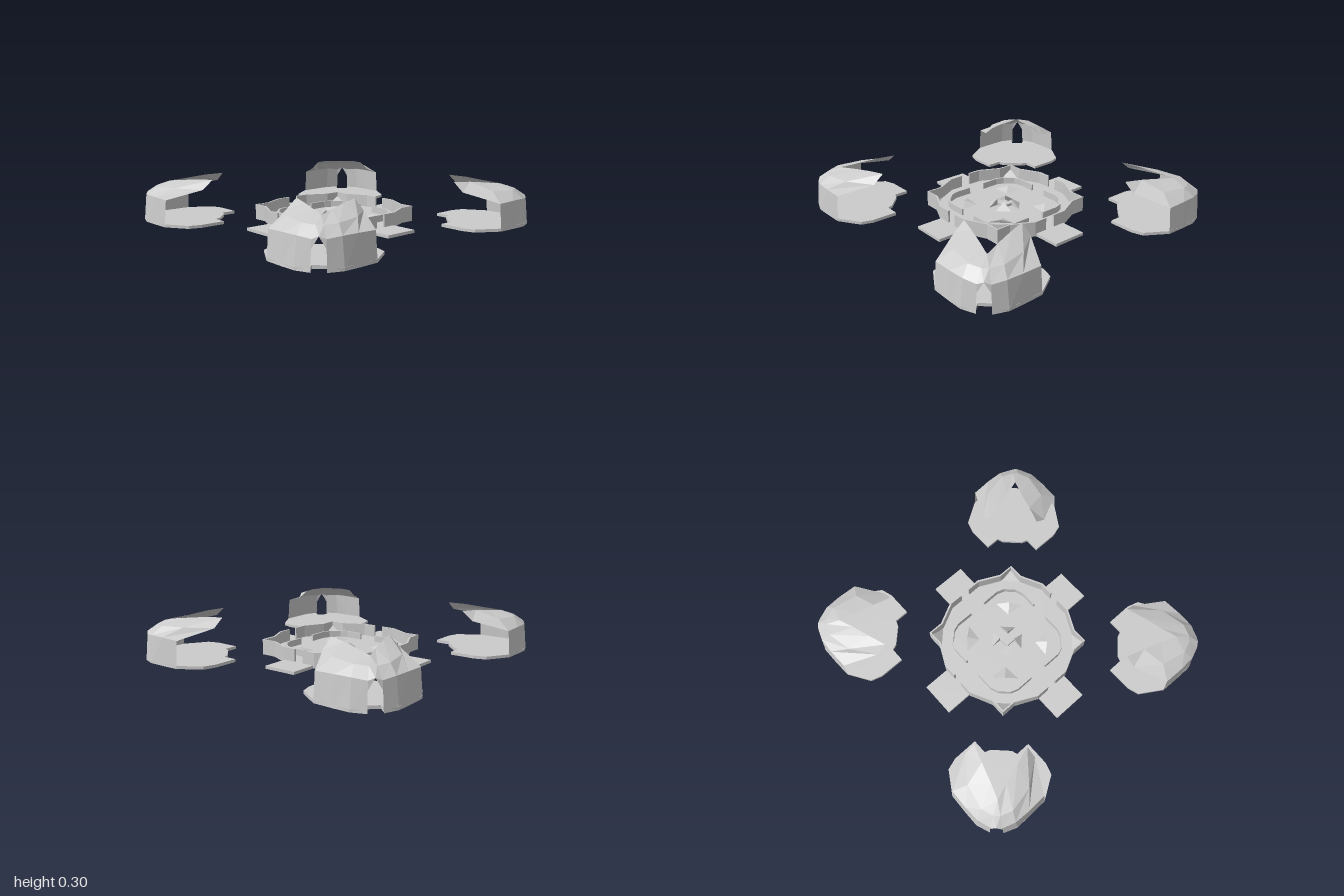
import * as THREE from 'three';

const material = new THREE.MeshStandardMaterial({ color: 0xcccccc, flatShading: true, side: THREE.DoubleSide });

function mesh(geometry, name) {
  const m = new THREE.Mesh(geometry, material);
  m.name = name;
  return m;
}

// Flat plan outline of [x, z] points, extruded from y0 up to y1
function slab(points, y0, y1, name) {
  const shape = new THREE.Shape(points.map(([x, z]) => new THREE.Vector2(x, z)));
  const g = new THREE.ExtrudeGeometry(shape, { depth: y1 - y0, bevelEnabled: false });
  g.rotateX(Math.PI / 2).translate(0, y1, 0);
  return mesh(g, name);
}

// Triangle soup from [x, y, z] corners
function faces(triangles, name) {
  const g = new THREE.BufferGeometry();
  g.setAttribute('position', new THREE.Float32BufferAttribute(triangles.flat(2), 3));
  g.computeVertexNormals();
  return mesh(g, name);
}

// Quads between two equally long rows of points, skipping chosen panels
function strip(low, high, skip = -1) {
  const tris = [];
  for (let i = 0; i < low.length - 1; i++) {
    if (i === skip) continue;
    tris.push([low[i], low[i + 1], high[i + 1]], [low[i], high[i + 1], high[i]]);
  }
  return tris;
}

// Mirror half a plan outline or row across the x = z diagonal
const mirrorPlan = (half) => [...half, ...half.map(([x, z]) => [z, x]).reverse()];
const mirrorRow = (half) => [...half, ...half.map(([x, y, z]) => [z, y, x]).reverse()];

// Three-sided pyramid
function wedge(a, b, c, peak, name) {
  return faces([[a, peak, b], [b, peak, c], [c, peak, a]], name);
}

// Thin wall standing on a plan path
function wall(path, thickness, y1, name) {
  const inner = path.map(([x, z]) => {
    const k = 1 - thickness / Math.hypot(x, z);
    return [x * k, z * k];
  });
  return slab([...path, ...inner.reverse()], 0.015, y1, name);
}

function quarter(parent, index, build, name) {
  const g = build();
  g.name = name;
  g.rotation.y = index * Math.PI / 2;
  parent.add(g);
}

// One quarter of the courtyard walls and floor details
function courtyardQuarter() {
  const g = new THREE.Group();
  const outer = mirrorPlan([[0.035, 0.46], [0.13, 0.46], [0.28, 0.385], [0.385, 0.385]].slice(0, 3));
  outer.splice(3, 0, [0.385, 0.385]);
  g.add(wall(outer, 0.013, 0.105, 'outerWall'));
  g.add(wall(mirrorPlan([[0.065, 0.325], [0.19, 0.325], [0.245, 0.305]]), 0.013, 0.065, 'innerWall'));
  g.add(wedge([0.37, 0.02, 0.37], [0.28, 0.02, 0.37], [0.37, 0.02, 0.28], [0.37, 0.075, 0.37], 'cornerRamp'));
  g.add(wedge([0.13, 0.02, 0.26], [0.26, 0.02, 0.13], [0.14, 0.02, 0.14], [0.2, 0.045, 0.2], 'floorFin'));
  g.add(wedge([0.035, 0.02, 0.035], [0.035, 0.02, 0.11], [0.11, 0.02, 0.035], [0.035, 0.07, 0.035], 'centreSpike'));
  return g;
}

// Corner shelter: floor plate, curved wall with doorway, split roof
function shelter() {
  const g = new THREE.Group();
  g.add(slab(mirrorPlan([
    [0.605, 0.505], [0.645, 0.49], [0.645, 0.39], [0.82, 0.39], [0.9, 0.415],
    [0.995, 0.565], [1, 0.81], [0.965, 0.895], [0.91, 0.85],
  ]), 0, 0.02, 'shelterFloor'));

  const base = mirrorRow([[0.565, 0, 0.995], [0.7, 0, 1], [0.81, 0, 1], [0.903, 0, 0.965]]);
  const eave = mirrorRow([[0.565, 0.18, 0.98], [0.7, 0.185, 0.985], [0.81, 0.185, 0.98], [0.895, 0.175, 0.95]]);
  const shoulder = mirrorRow([[0.45, 0.24, 0.765], [0.61, 0.245, 0.885], [0.78, 0.24, 0.92], [0.86, 0.235, 0.89]]);
  const rim = mirrorRow([[0.45, 0.3, 0.69], [0.57, 0.295, 0.73], [0.7, 0.28, 0.77], [0.808, 0.268, 0.808]]);

  // Pointed doorway in the outer corner
  const peak = [0.925, 0.19, 0.925];
  const jamb = (i) => [...new THREE.Vector3(...base[i]).lerp(new THREE.Vector3(...eave[i]), 0.7)];
  const door = [[jamb(3), peak, eave[3]], [jamb(4), eave[4], peak]];
  g.add(faces([...strip(base, eave, 3), ...door], 'shelterWall'));

  g.add(faces([...strip(eave, shoulder, 3),
    [eave[3], peak, shoulder[3]], [peak, shoulder[4], shoulder[3]], [peak, eave[4], shoulder[4]],
    ...strip(shoulder, rim, 3), [shoulder[3], shoulder[4], rim[3]]], 'shelterRoof'));
  return g;
}

export function createModel() {
  const model = new THREE.Group();
  model.name = 'courtyardWithShelters';

  // Floor with four walkway arms
  const plan = [];
  for (let i = 0; i < 4; i++) {
    const a = i * Math.PI / 2, c = Math.cos(a), s = Math.sin(a);
    for (const [x, z] of [[0.645, -0.12], [0.645, 0.12], [0.46, 0.12], [0.385, 0.28], [0.385, 0.385],
      [0.28, 0.385], [0.12, 0.46]]) plan.push([x * c - z * s, x * s + z * c]);
  }
  model.add(slab(plan, 0, 0.02, 'courtyardFloor'));

  // Raised block at the centre
  const block = mesh(new THREE.BoxGeometry(0.07, 0.03, 0.07), 'centreBlock');
  block.position.y = 0.025;
  model.add(block);

  for (let i = 0; i < 4; i++) {
    quarter(model, i, courtyardQuarter, 'courtyardQuarter');
    quarter(model, i, shelter, 'shelter');
  }
  return model;
}
